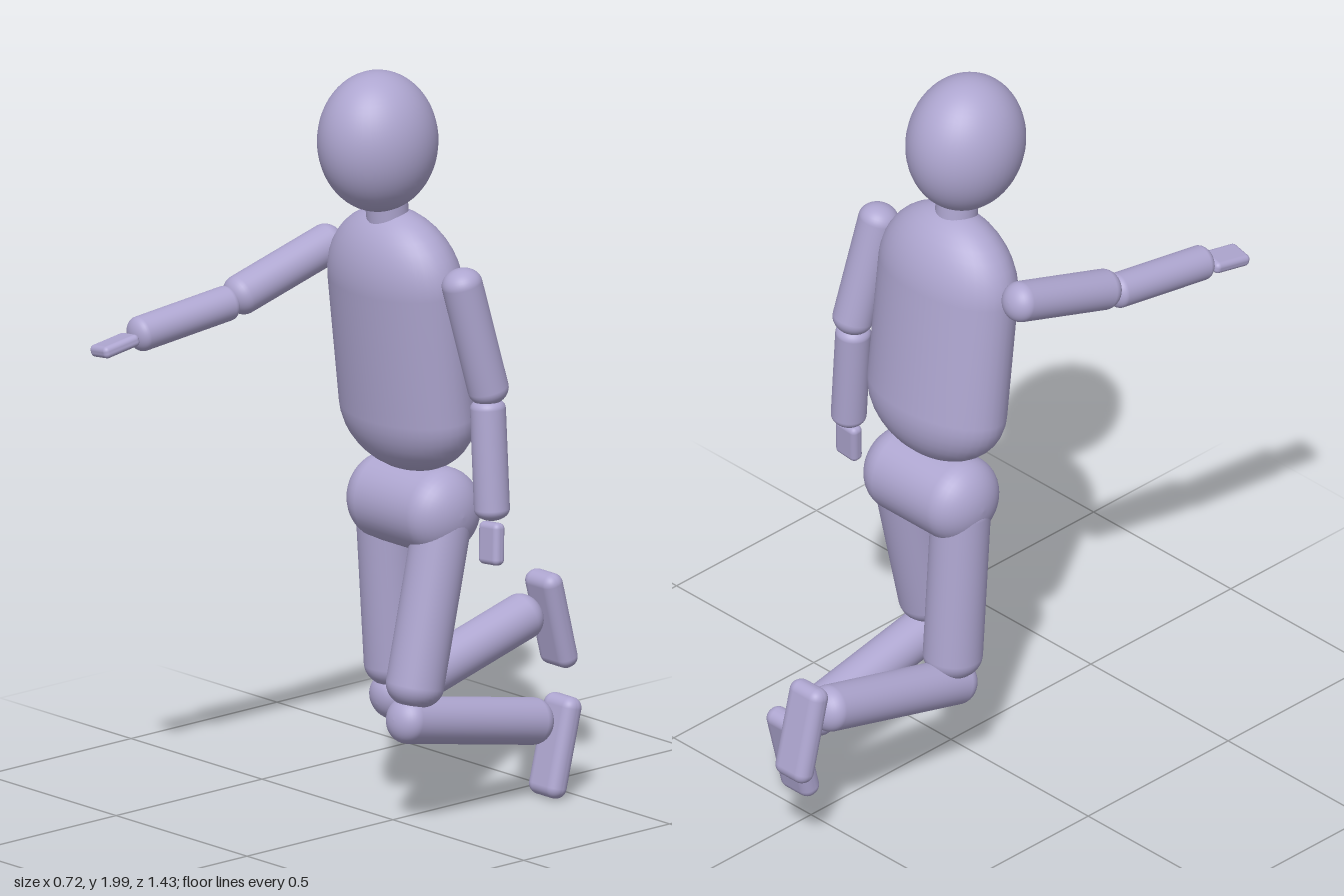
import * as THREE from 'three';
import { RoundedBoxGeometry } from 'three/addons/geometries/RoundedBoxGeometry.js';

const lavender = new THREE.MeshStandardMaterial({ color: 0xaea6d0 });
lavender.name = 'lavender';
const UP = new THREE.Vector3(0, 1, 0);

// Round bar along y with domed ends, centred on the origin
function barGeometry(length, r, topCap, bottomCap) {
  const pts = [];
  const n = 10;
  for (let i = 0; i <= n; i++) {
    const a = (i / n) * Math.PI / 2;
    pts.push(new THREE.Vector2(r * Math.sin(a), -length / 2 + bottomCap * (1 - Math.cos(a))));
  }
  for (let i = 0; i <= n; i++) {
    const a = (i / n) * Math.PI / 2;
    pts.push(new THREE.Vector2(r * Math.cos(a), length / 2 - topCap * (1 - Math.sin(a))));
  }
  return new THREE.LatheGeometry(pts, 40);
}

export function createModel() {
  const group = new THREE.Group();
  group.name = 'jointedMannequin';

  const add = (name, geometry, position, tilt = [0, 0, 0]) => {
    const mesh = new THREE.Mesh(geometry, lavender);
    mesh.name = name;
    mesh.position.set(...position);
    mesh.rotation.set(...tilt);
    group.add(mesh);
    return mesh;
  };

  // Domed bar running from tip to tip
  const limb = (name, from, to, r, cap = r * 0.8) => {
    const a = new THREE.Vector3(...from);
    const b = new THREE.Vector3(...to);
    const dir = b.clone().sub(a);
    const mid = a.clone().add(b).multiplyScalar(0.5);
    const mesh = add(name, barGeometry(dir.length(), r, cap, cap), mid.toArray());
    mesh.quaternion.setFromUnitVectors(UP, dir.normalize());
    return mesh;
  };

  const block = (name, size, radius, position, tilt) =>
    add(name, new RoundedBoxGeometry(...size, 5, radius), position, tilt);

  // Head, neck and trunk
  add('head', new THREE.SphereGeometry(1, 48, 32), [-0.01, 1.815, 0.043], [0.1, 0, 0])
    .scale.set(0.146, 0.185, 0.162);
  add('neck', new THREE.CylinderGeometry(0.055, 0.055, 0.16, 32), [-0.01, 1.62, 0.01], [0.1, 0, 0]);
  add('torso', barGeometry(0.71, 0.218, 0.2, 0.165), [-0.01, 1.278, -0.037], [0.115, 0, 0])
    .scale.set(1, 1, 0.6);
  limb('pelvis', [-0.2, 0.83, -0.08], [0.18, 0.83, -0.08], 0.115, 0.09);

  // Left arm, hanging
  limb('leftUpperArm', [0.25, 1.52, 0], [0.284, 1.155, -0.085], 0.053);
  limb('leftForearm', [0.281, 1.175, -0.072], [0.31, 0.855, -0.063], 0.046, 0.03);
  block('leftHand', [0.074, 0.11, 0.036], 0.015, [0.318, 0.798, -0.053], [-0.1, 0, 0.09]);

  // Right arm, reaching forward
  limb('rightUpperArm', [-0.267, 1.487, -0.057], [-0.287, 1.378, 0.305], 0.053);
  limb('rightForearm', [-0.293, 1.376, 0.278], [-0.318, 1.337, 0.61], 0.046, 0.03);
  block('rightHand', [0.074, 0.032, 0.115], 0.013, [-0.326, 1.322, 0.66], [0.17, -0.07, 0.15]);

  // Left leg, kneeling lower
  limb('leftThigh', [0.103, 0.86, -0.09], [0.103, 0.33, 0.03], 0.075);
  limb('leftShin', [0.102, 0.31, 0.09], [0.102, 0.205, -0.435], 0.061);
  block('leftFoot', [0.112, 0.265, 0.06], 0.028, [0.102, 0.135, -0.465], [-0.245, 0, 0]);

  // Right leg, shin raised behind
  limb('rightThigh', [-0.122, 0.86, -0.08], [-0.122, 0.315, -0.117], 0.077);
  limb('rightShin', [-0.122, 0.275, -0.055], [-0.122, 0.425, -0.6], 0.061);
  block('rightFoot', [0.112, 0.265, 0.06], 0.028, [-0.122, 0.388, -0.653], [0.245, 0, 0]);

  return group;
}
